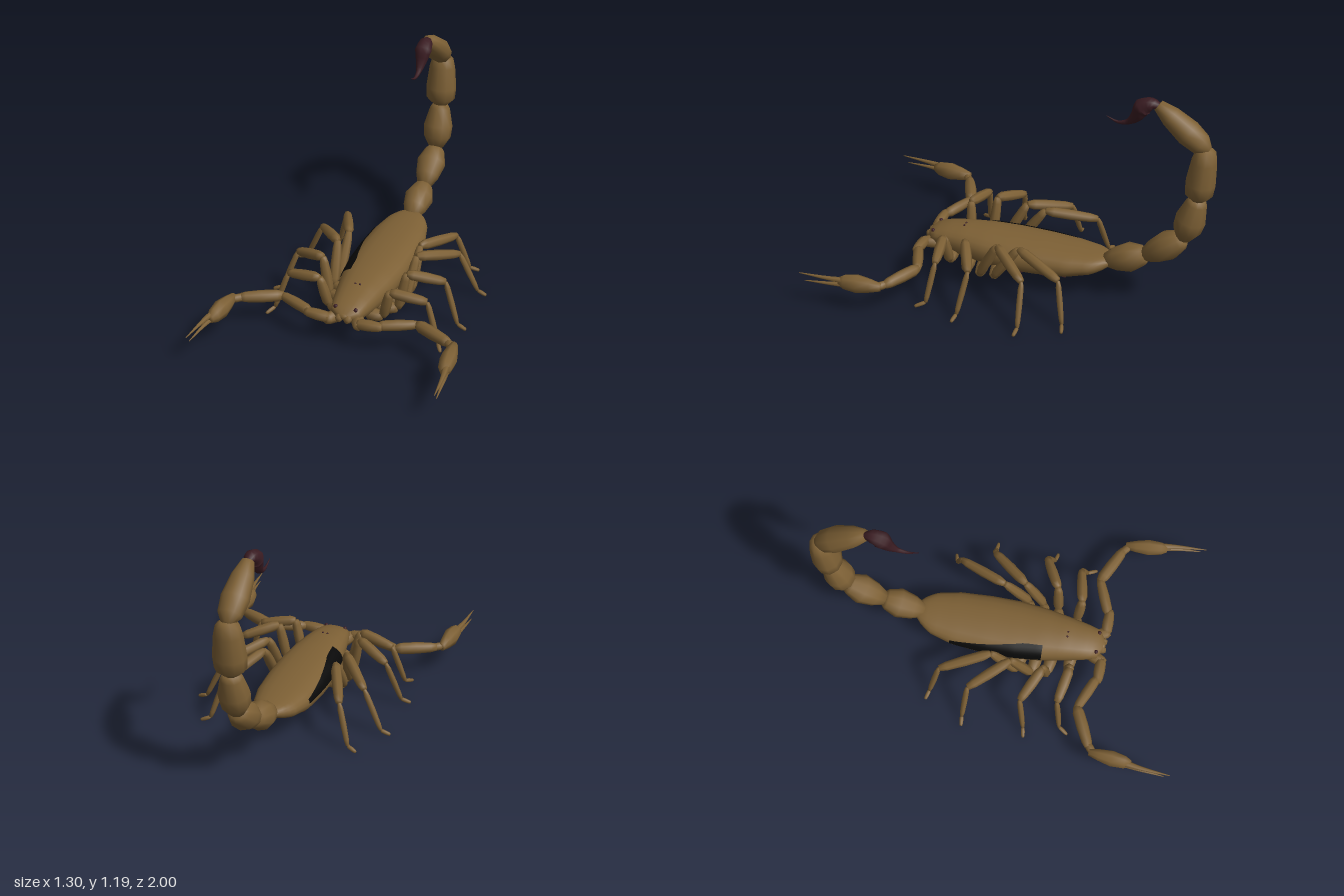
import * as THREE from 'three';
import { ParametricGeometry } from 'three/addons/geometries/ParametricGeometry.js';

const V = (x, y, z) => new THREE.Vector3(x, y, z);

// body sections from back to front: z, half width, bottom, top
const SECTIONS = [
  [-0.48, 0.045, 0.195, 0.235], [-0.46, 0.07, 0.18, 0.245], [-0.4, 0.115, 0.15, 0.25], [-0.27, 0.148, 0.115, 0.255],
  [-0.1, 0.16, 0.095, 0.26], [0.06, 0.16, 0.085, 0.262], [0.2, 0.146, 0.085, 0.262],
  [0.33, 0.122, 0.095, 0.255], [0.44, 0.1, 0.115, 0.238], [0.51, 0.08, 0.14, 0.215], [0.54, 0.03, 0.16, 0.19],
];

// point on the body shell; angle 0 is the left side, 90 degrees is the top
function bodyPoint(z, angle, lift = 0) {
  let i = 0;
  while (i < SECTIONS.length - 2 && z > SECTIONS[i + 1][0]) i++;
  const p = SECTIONS[i], q = SECTIONS[i + 1];
  const k = THREE.MathUtils.clamp((z - p[0]) / (q[0] - p[0]), 0, 1);
  const [w, lo, hi] = [1, 2, 3].map((n) => THREE.MathUtils.lerp(p[n], q[n], k));
  const bend = (t) => Math.sign(t) * Math.abs(t) ** 0.85;
  return V((w + lift) * bend(Math.cos(angle)), (lo + hi) / 2 + ((hi - lo) / 2 + lift) * bend(Math.sin(angle)), z);
}

// curved tapering tube; radii are [side, up] pairs, one for each point
function taperTube(points, radii, sides = 8, steps = 14) {
  const curve = new THREE.CatmullRomCurve3(points);
  return new ParametricGeometry((u, v, out) => {
    const t = v * (points.length - 1), i = Math.min(Math.floor(t), points.length - 2);
    const rx = THREE.MathUtils.lerp(radii[i][0], radii[i + 1][0], t - i);
    const ry = THREE.MathUtils.lerp(radii[i][1], radii[i + 1][1], t - i);
    const dir = curve.getTangent(v);
    const side = V(1, 0, 0).addScaledVector(dir, -dir.x).normalize();
    const up = dir.clone().cross(side);
    const a = u * Math.PI * 2;
    out.copy(curve.getPoint(v)).addScaledVector(side, rx * Math.cos(a)).addScaledVector(up, ry * Math.sin(a));
  }, sides, steps);
}

// plated limb piece from a to b; profile is [radius, position] pairs
function segment(a, b, profile, rSide, rUp, sides = 8) {
  const dir = b.clone().sub(a), length = dir.length();
  dir.normalize();
  const ends = [[0, 0], ...profile, [0, 1]];
  const geo = new THREE.LatheGeometry(ends.map(([r, t]) => new THREE.Vector2(r, t)), sides);
  geo.scale(rSide, length, rUp);
  const ref = Math.abs(dir.x) < 0.5 ? V(1, 0, 0) : V(0, 0, 1);
  const x = ref.addScaledVector(dir, -ref.dot(dir)).normalize();
  geo.applyMatrix4(new THREE.Matrix4().makeBasis(x, dir, x.clone().cross(dir)).setPosition(a));
  return geo;
}

const LIMB = [[0.6, 0.01], [0.95, 0.15], [1, 0.5], [0.85, 0.85], [0.6, 0.99]];
const SPINDLE = [[0.45, 0.01], [0.75, 0.25], [1, 0.55], [0.8, 0.85], [0.45, 0.99]];

export function createModel() {
  const model = new THREE.Group();
  model.name = 'scorpion';
  const mat = (name, color, side = THREE.FrontSide) => {
    const m = new THREE.MeshStandardMaterial({ color, side });
    m.name = name;
    return m;
  };
  const shell = mat('brownShell', 0x7d6035);
  const dark = mat('darkMaroon', 0x3a1c22, THREE.DoubleSide);
  const black = mat('black', 0x080808, THREE.DoubleSide);
  const add = (name, geo, material = shell, parent = model) => {
    const mesh = new THREE.Mesh(geo, material);
    mesh.name = name;
    parent.add(mesh);
    return mesh;
  };

  // body shell, seam kept on the belly
  const bodyGeo = new ParametricGeometry((u, v, out) => {
    out.copy(bodyPoint(-0.48 + 1.02 * v, (u - 0.25) * Math.PI * 2));
  }, 20, 34);
  bodyGeo.computeVertexNormals();
  add('body', bodyGeo);
  add('snout', new THREE.SphereGeometry(1, 8, 6).scale(0.035, 0.02, 0.02).translate(0, 0.175, 0.53));

  // black patch along the right flank
  add('flankPatch', new ParametricGeometry((u, v, out) => {
    const inner = THREE.MathUtils.lerp(0.35, 1.0, Math.min(1, v * 1.25));
    out.copy(bodyPoint(-0.28 + 0.5 * v, Math.PI - THREE.MathUtils.lerp(0.05, inner, u), 0.004));
  }, 6, 14), black);

  // belly slits and eyes
  for (const s of [1, -1]) {
    [-0.27, -0.15, -0.03, 0.09].forEach((z) => {
      add('bellySlit', new ParametricGeometry((u, v, out) => {
        const a = THREE.MathUtils.lerp(0.7, 1.3, u);
        const half = 0.013 * Math.sin(Math.PI * (0.1 + 0.8 * u));
        out.copy(bodyPoint(z + 0.04 * u + half * (2 * v - 1), -a, 0.004));
        out.x *= s;
      }, 6, 2), dark);
    });
    const sideEye = bodyPoint(0.505, 0.9);
    add('sideEye', new THREE.SphereGeometry(0.011, 8, 6).translate(s * sideEye.x, sideEye.y, sideEye.z), dark);
    add('topEye', new THREE.SphereGeometry(0.006, 6, 5).translate(s * 0.013, 0.253, 0.34), dark);
  }

  // tail: [start y, z], [end y, z], half width, half depth, profile
  const tail = new THREE.Group();
  tail.name = 'tail';
  model.add(tail);
  const BULB = [[0.5, 0.01], [0.8, 0.25], [1, 0.6], [0.7, 0.9], [0.45, 0.99]];
  const LOW = [[0.45, 0.01], [0.95, 0.14], [1, 0.35], [0.85, 0.75], [0.7, 0.92], [0.4, 0.99]];
  [
    [0.215, -0.45, 0.295, -0.67, 0.08, 0.078, BULB],
    [0.295, -0.66, 0.44, -0.86, 0.08, 0.078, BULB],
    [0.44, -0.855, 0.69, -0.92, 0.08, 0.078, [[0.5, 0.01], [0.95, 0.25], [1, 0.5], [0.7, 0.88], [0.5, 0.99]]],
    [0.68, -0.915, 0.98, -0.945, 0.084, 0.076, LOW],
    [0.965, -0.955, 1.17, -0.69, 0.07, 0.065, [[0.4, 0.01], [0.85, 0.15], [1, 0.4], [0.8, 0.75], [0.45, 0.99]]],
  ].forEach(([y0, z0, y1, z1, w, d, profile], i) => {
    add('tailSegment' + (i + 1), segment(V(0, y0, z0), V(0, y1, z1), profile, w, d, 10), shell, tail);
  });
  add('sting', taperTube(
    [V(0, 1.163, -0.7), V(0, 1.17, -0.66), V(0, 1.145, -0.615), V(0, 1.09, -0.585), V(0, 1.05, -0.545), V(0, 1.037, -0.49), V(0, 1.06, -0.43)],
    [[0.015, 0.015], [0.036, 0.03], [0.046, 0.047], [0.03, 0.032], [0.014, 0.016], [0.007, 0.008], [0.001, 0.001]], 8, 18), dark, tail);

  // legs, front to back: base, hip, knee, shin top, ankle, toe
  const LEGS = [
    [[0.06, 0.12, 0.38], [0.15, 0.11, 0.37], [0.19, 0.275, 0.385], [0.38, 0.24, 0.35], [0.45, 0.03, 0.38], [0.48, 0.012, 0.43]],
    [[0.07, 0.1, 0.28], [0.19, 0.1, 0.26], [0.23, 0.31, 0.245], [0.41, 0.25, 0.155], [0.49, 0.03, 0.19], [0.54, 0.012, 0.2]],
    [[0.08, 0.1, 0.2], [0.2, 0.1, 0.18], [0.22, 0.31, 0.07], [0.39, 0.245, -0.13], [0.49, 0.03, -0.145], [0.54, 0.012, -0.14]],
    [[0.08, 0.1, 0.12], [0.2, 0.105, 0.1], [0.2, 0.305, -0.04], [0.315, 0.245, -0.3], [0.38, 0.03, -0.345], [0.43, 0.012, -0.36]],
  ];
  const LEG_PARTS = [['coxa', 0.034], ['thigh', 0.028], ['upperShin', 0.029], ['lowerShin', 0.016], ['foot', 0.011]];
  for (const s of [1, -1]) {
    const sideName = s > 0 ? 'left' : 'right';
    const pt = ([x, y, z]) => V(s * x, y, z);
    LEGS.forEach((joints, n) => {
      const leg = new THREE.Group();
      leg.name = sideName + 'Leg' + (n + 1);
      model.add(leg);
      LEG_PARTS.forEach(([name, r], i) => {
        add(name, segment(pt(joints[i]), pt(joints[i + 1]), LIMB, r, r, 7), shell, leg);
      });
    });

    // pincer arm
    const arm = new THREE.Group();
    arm.name = sideName + 'PincerArm';
    model.add(arm);
    [
      ['armBase', [0.04, 0.14, 0.45], [0.09, 0.15, 0.56], 0.035],
      ['armJoint', [0.07, 0.155, 0.54], [0.21, 0.165, 0.54], 0.03],
      ['upperArm', [0.18, 0.165, 0.535], [0.375, 0.17, 0.455], 0.029],
      ['forearm', [0.36, 0.17, 0.455], [0.57, 0.17, 0.555], 0.033],
      ['wrist', [0.55, 0.17, 0.545], [0.605, 0.17, 0.59], 0.022],
    ].forEach(([name, a, b, r]) => add(name, segment(pt(a), pt(b), LIMB, r, r), shell, arm));
    add('claw', segment(pt([0.595, 0.172, 0.56]), pt([0.618, 0.172, 0.79]), SPINDLE, 0.043, 0.052), shell, arm);
    add('upperFinger', taperTube(
      [[0.608, 0.185, 0.69], [0.632, 0.187, 0.82], [0.646, 0.19, 1]].map(pt),
      [[0.026, 0.018], [0.014, 0.011], [0.002, 0.002]], 6), shell, arm);
    add('lowerFinger', taperTube(
      [[0.608, 0.162, 0.69], [0.632, 0.157, 0.82], [0.646, 0.15, 0.97]].map(pt),
      [[0.024, 0.016], [0.012, 0.009], [0.002, 0.002]], 6), shell, arm);

    // jaws
    add(sideName + 'Jaw', segment(pt([0.03, 0.17, 0.46]), pt([0.022, 0.165, 0.555]), LIMB, 0.023, 0.026), shell);
  }
  return model;
}
